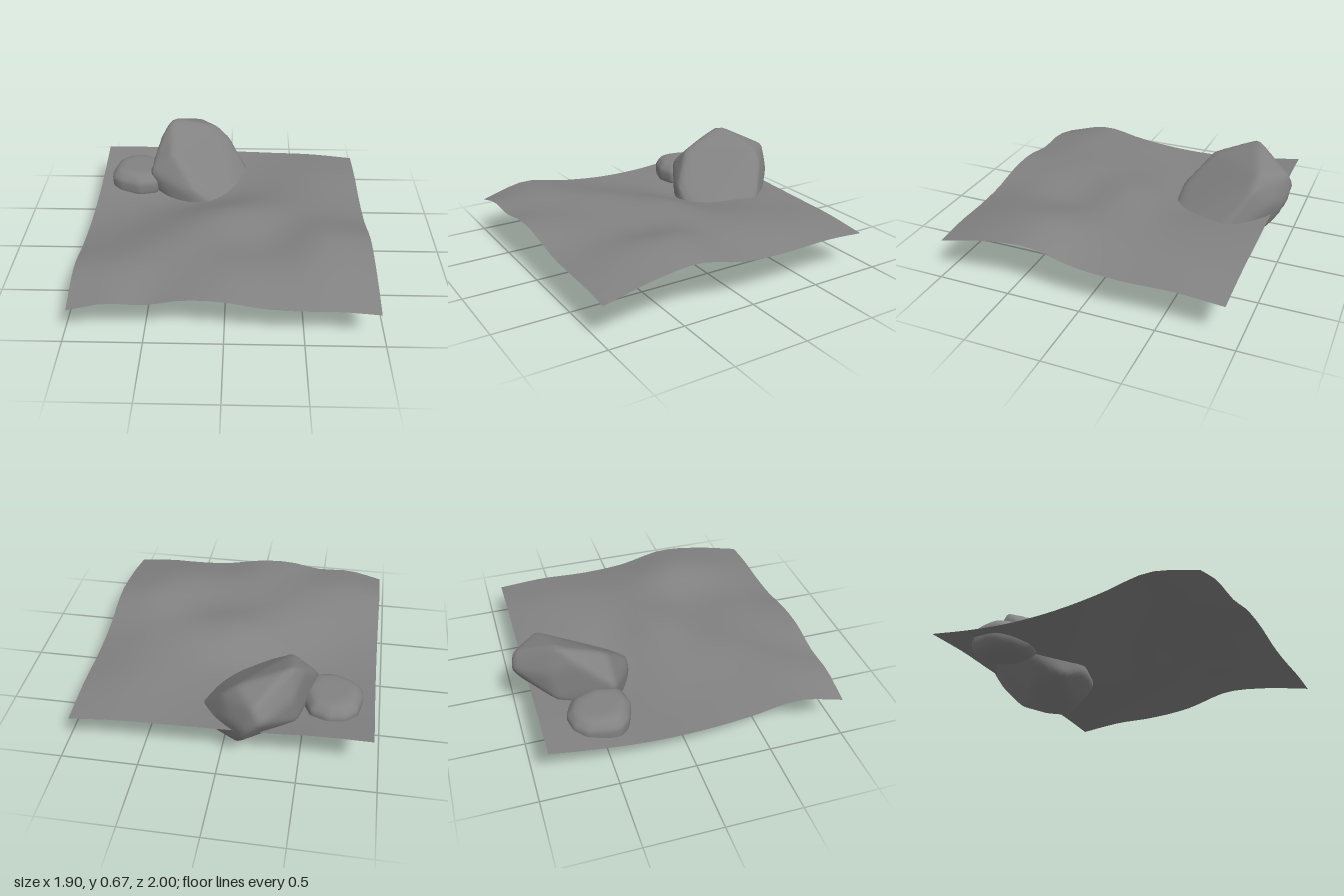
import * as THREE from 'three';
import { mergeVertices } from 'three/addons/utils/BufferGeometryUtils.js';
import { ConvexGeometry } from 'three/addons/geometries/ConvexGeometry.js';

const material = new THREE.MeshStandardMaterial({ color: 0x828282, side: THREE.DoubleSide });

// Smooth curve through evenly spaced values, t from 0 to 1
function curveThrough(values, t) {
  const last = values.length - 1;
  const s = Math.min(Math.max(t, 0), 1) * last;
  const i = Math.min(Math.floor(s), last - 1), f = s - i;
  const b = values[i], c = values[i + 1];
  const a = i > 0 ? values[i - 1] : 2 * b - c;
  const d = i + 2 <= last ? values[i + 2] : 2 * c - b;
  return b + 0.5 * f * (c - a + f * (2 * a - 5 * b + 4 * c - d + f * (3 * (b - c) + d - a)));
}

// Rolling ground: heights from the back row to the front row, each evenly spaced from -x to +x
const HEIGHTS = [
  [0.33, 0.33, 0.31, 0.30, 0.29, 0.28, 0.25],
  [0.28, 0.28, 0.27, 0.28, 0.30, 0.31, 0.27],
  [0.25, 0.24, 0.235, 0.27, 0.32, 0.32, 0.26],
  [0.25, 0.26, 0.31, 0.37, 0.36, 0.34, 0.28],
  [0.28, 0.32, 0.36, 0.34, 0.33, 0.40, 0.35],
  [0.33, 0.36, 0.35, 0.355, 0.34, 0.36, 0.32],
  [0.25, 0.305, 0.30, 0.34, 0.33, 0.285, 0.27, 0.27, 0.25],
];

function makeGround() {
  const width = 1.9, depth = 1.91;
  const geo = new THREE.PlaneGeometry(width, depth, 20, 20).rotateX(-Math.PI / 2);
  const pos = geo.attributes.position;
  for (let i = 0; i < pos.count; i++) {
    const u = pos.getX(i) / width + 0.5, v = pos.getZ(i) / depth + 0.5;
    pos.setY(i, curveThrough(HEIGHTS.map((row) => curveThrough(row, u)), v));
  }
  geo.translate(0, 0, 0.045);
  geo.computeVertexNormals();
  return geo;
}

// Rock: a sphere pushed out to the softened faces of a hull, then fitted to the hull's box
function makeRock(points, sharpness) {
  const hull = new ConvexGeometry(points);
  hull.computeBoundingBox();
  const box = hull.boundingBox;
  const centre = box.getCenter(new THREE.Vector3());
  const p = hull.attributes.position;
  const planes = [];
  for (let i = 0; i < p.count; i += 3) {
    const [a, b, c] = [0, 1, 2].map((k) => new THREE.Vector3().fromBufferAttribute(p, i + k));
    const plane = new THREE.Plane().setFromCoplanarPoints(a, b, c);
    planes.push({ normal: plane.normal, distance: Math.max(-plane.distanceToPoint(centre), 0.01) });
  }

  let geo = new THREE.IcosahedronGeometry(1, 14);
  geo.deleteAttribute('normal');
  geo.deleteAttribute('uv');
  geo = mergeVertices(geo, 1e-4);
  const pos = geo.attributes.position;
  const dir = new THREE.Vector3();
  for (let i = 0; i < pos.count; i++) {
    dir.fromBufferAttribute(pos, i).normalize();
    let sum = 0;
    for (const { normal, distance } of planes) {
      sum += Math.pow(Math.max(normal.dot(dir), 0) / distance, sharpness);
    }
    dir.multiplyScalar(Math.pow(sum, -1 / sharpness));
    pos.setXYZ(i, dir.x, dir.y, dir.z);
  }
  geo.computeBoundingBox();
  const size = box.getSize(new THREE.Vector3());
  const made = geo.boundingBox.getSize(new THREE.Vector3());
  const mid = geo.boundingBox.getCenter(new THREE.Vector3());
  geo.translate(-mid.x, -mid.y, -mid.z);
  geo.scale(size.x / made.x, size.y / made.y, size.z / made.z);
  geo.translate(centre.x, centre.y, centre.z);
  geo.computeVertexNormals();
  return geo;
}

// Corners of the tall rock
const LARGE_ROCK = [
  // top
  [-0.42, 0.67, -0.72], [-0.50, 0.58, -0.62], [-0.40, 0.54, -0.41], [-0.45, 0.50, -0.79],
  [-0.10, 0.57, -0.80], [0.00, 0.48, -0.79], [0.06, 0.38, -0.71],
  // back
  [-0.22, 0.54, -0.98], [-0.28, 0.45, -1.00], [-0.18, 0.36, -0.99], [-0.07, 0.38, -0.91],
  [-0.15, 0.26, -0.94], [-0.39, 0.36, -0.86], [-0.47, 0.30, -0.76], [0.00, 0.26, -0.83],
  [-0.10, 0.10, -0.79], [0.12, 0.22, -0.71], [0.12, 0.12, -0.68],
  // right and front, near the ground
  [0.16, 0.25, -0.64], [0.16, 0.10, -0.59], [0.15, 0.20, -0.49], [0.10, 0.20, -0.37],
  [0.02, 0.20, -0.26], [-0.09, 0.20, -0.22], [-0.20, 0.20, -0.22], [-0.22, 0.33, -0.24],
  [-0.30, 0.32, -0.25], [-0.42, 0.36, -0.34], [-0.57, 0.40, -0.40], [-0.53, 0.23, -0.42],
  // underside
  [0.06, 0.03, -0.50], [-0.10, 0.00, -0.56], [-0.10, 0.05, -0.35], [0.00, 0.11, -0.30],
  [-0.35, 0.14, -0.28], [-0.40, 0.11, -0.46], [-0.30, 0.06, -0.55],
];

// Outline of the low rock as x, z, and its rings as height, scale
const SMALL_OUTLINE = [
  [-0.87, -0.50], [-0.84, -0.65], [-0.77, -0.72], [-0.66, -0.74], [-0.55, -0.69],
  [-0.48, -0.52], [-0.53, -0.36], [-0.66, -0.33], [-0.80, -0.38], [-0.86, -0.44],
];
const SMALL_RINGS = [[0.185, 0.55], [0.21, 0.85], [0.25, 0.99], [0.33, 1], [0.375, 0.8], [0.39, 0.55]];

export function createModel() {
  const group = new THREE.Group();
  group.name = 'rocksOnGround';
  const add = (name, geo) => {
    const mesh = new THREE.Mesh(geo, material);
    mesh.name = name;
    group.add(mesh);
  };

  add('ground', makeGround());
  add('largeRock', makeRock(LARGE_ROCK.map((c) => new THREE.Vector3(...c)), 60));
  const smallPoints = SMALL_RINGS.flatMap(([y, s]) =>
    SMALL_OUTLINE.map(([x, z]) => new THREE.Vector3(-0.68 + (x + 0.68) * s, y, -0.53 + (z + 0.53) * s)));
  add('smallRock', makeRock(smallPoints, 40));
  return group;
}
